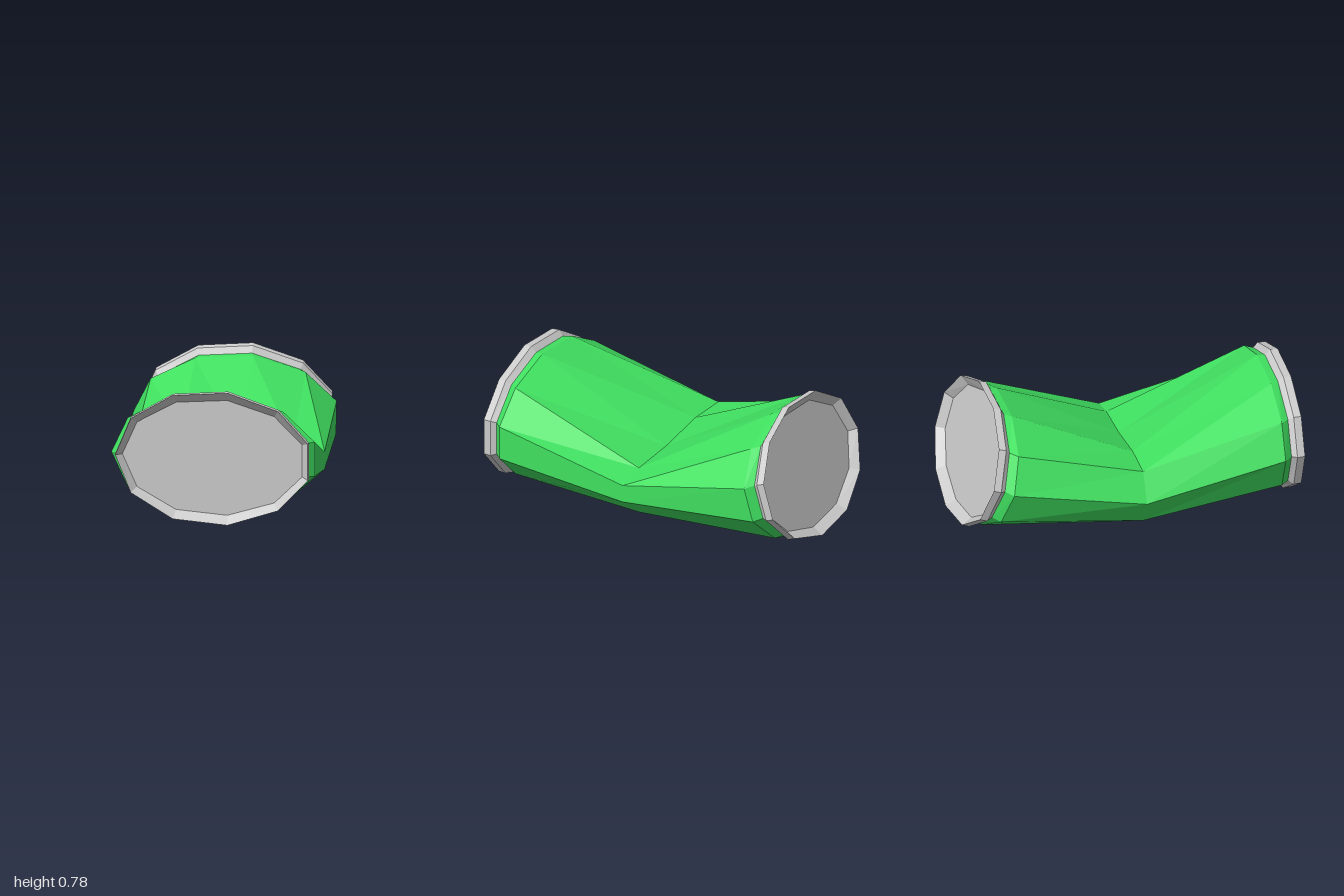
import * as THREE from 'three';

const SIDES = 11;

// End planes: z = z0 + a * x + b * y; dir is the outward z direction
const FRONT = { cx: -0.114, cy: 0.4, z0: 0.944, a: 0.14, b: 0, dir: 1 };
const BACK = { cx: 0.136, cy: 0.41, z0: -0.997, a: 0.105, b: 0.27, dir: -1 };

// Elliptical ring lying parallel to an end plane, set inward by depth
function endRing(end, depth, rx, ry) {
  const cx = end.cx + depth * end.a * end.dir;
  const cy = end.cy + depth * end.b * end.dir;
  return Array.from({ length: SIDES }, (_, k) => {
    const t = (k / SIDES) * Math.PI * 2;
    const c = Math.cos(t);
    const x = cx - rx * c;
    const y = cy + 0.015 * c + ry * (1 + 0.03 * c) * Math.sin(t);
    return new THREE.Vector3(x, y, end.z0 + end.a * x + end.b * y - end.dir * depth);
  });
}

// Pinched ring at the middle: heights run from the -x side over the top and back below
function creaseRing() {
  const heights = [0.25, 0.41, 0.41, 0.36, 0.34, 0.3, 0.2, 0.07, 0.002, 0.015, 0.1];
  return heights.map((y, k) => {
    const x = 0.007 - 0.577 * Math.cos((k / SIDES) * Math.PI * 2);
    return new THREE.Vector3(x, y, 0.018 + 0.147 * x);
  });
}

// Ring collapsed to its centre, which closes a lid
function centre(ring) {
  const c = new THREE.Vector3();
  ring.forEach((p) => c.addScaledVector(p, 1 / SIDES));
  return ring.map(() => c);
}

// Faceted skin through rings ordered from front to back
function loft(rings) {
  const points = [];
  for (let i = 0; i < rings.length - 1; i++) {
    const [A, B] = [rings[i], rings[i + 1]];
    for (let k = 0; k < SIDES; k++) {
      const n = (k + 1) % SIDES;
      points.push(A[k], A[n], B[k], A[n], B[n], B[k]);
    }
  }
  const geometry = new THREE.BufferGeometry().setFromPoints(points);
  geometry.computeVertexNormals();
  return geometry;
}

export function createModel() {
  const group = new THREE.Group();
  group.name = 'crushedCan';
  const green = new THREE.MeshStandardMaterial({ color: 0x40e060, flatShading: true, side: THREE.DoubleSide });
  const grey = new THREE.MeshStandardMaterial({ color: 0xcccccc, flatShading: true, side: THREE.DoubleSide });

  const add = (name, rings, material) => {
    const mesh = new THREE.Mesh(loft(rings), material);
    mesh.name = name;
    group.add(mesh);
  };
  const neck = (end) => endRing(end, 0.075, 0.53, 0.35);
  const shoulder = (end) => endRing(end, 0.12, 0.577, 0.354);

  // Dented body with a tapered shoulder at each end
  add('body', [neck(FRONT), shoulder(FRONT), creaseRing(), shoulder(BACK), neck(BACK)], green);

  // Flared rims with recessed lids
  const cap = (end) => {
    const lid = endRing(end, 0.05, 0.51, 0.33);
    return [centre(lid), lid, endRing(end, 0, 0.546, 0.38), endRing(end, 0.045, 0.55, 0.382), neck(end)];
  };
  add('frontRim', cap(FRONT), grey);
  add('backRim', cap(BACK).reverse(), grey);
  return group;
}
